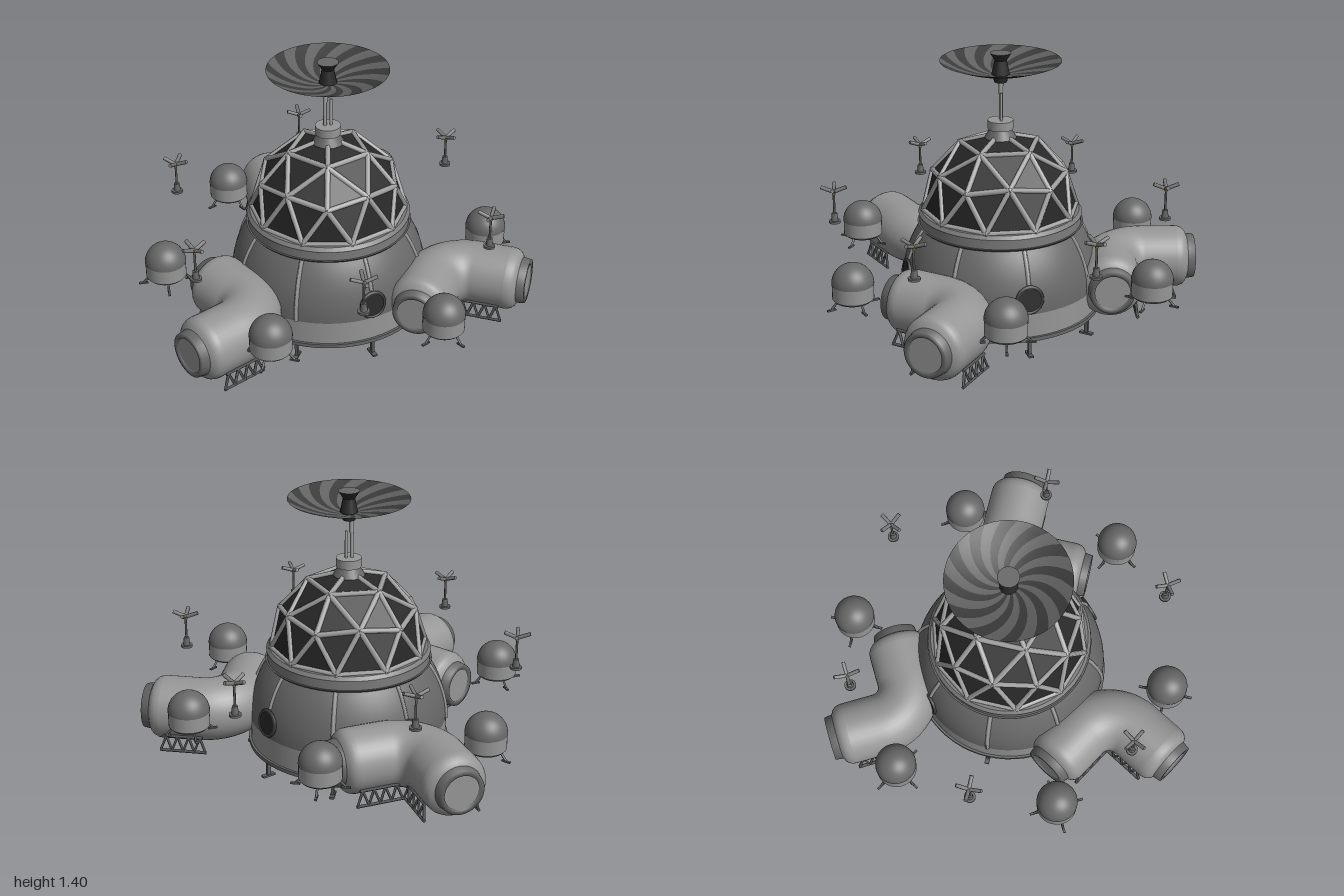
import * as THREE from 'three';

const V = (x, y, z) => new THREE.Vector3(x, y, z);
const mat = (name, color, side = THREE.FrontSide) => {
  const m = new THREE.MeshStandardMaterial({ color, side });
  m.name = name;
  return m;
};

export function createModel() {
  const light = mat('light hull', 0x969696);
  const dark = mat('dark hull', 0x686868);
  const ring = mat('ring grey', 0x7c7c7c);
  const strut = mat('strut grey', 0xa2a2a2);
  const metal = mat('leg metal', 0x5c5c5c);
  const glass = mat('dark glass', 0x282828, THREE.DoubleSide);
  const dishA = mat('dish dark', 0x3c3c3c, THREE.DoubleSide);
  const dishB = mat('dish grey', 0x626262, THREE.DoubleSide);
  const orange = mat('beacon orange', 0xb07a2a);

  const model = new THREE.Group();
  const base = new THREE.Group();
  base.name = 'station';
  base.position.set(-0.06, 0, -0.015);
  model.add(base);

  const add = (parent, name, geo, material, x = 0, y = 0, z = 0) => {
    const m = new THREE.Mesh(geo, material);
    m.name = name;
    m.position.set(x, y, z);
    parent.add(m);
    return m;
  };
  const group = (parent, name, turn = 0) => {
    const g = new THREE.Group();
    g.name = name;
    g.rotation.y = turn;
    parent.add(g);
    return g;
  };
  // Cylinder between two heights
  const drum = (parent, name, rTop, rBot, y0, y1, material, sides = 48, x = 0, z = 0) =>
    add(parent, name, new THREE.CylinderGeometry(rTop, rBot, y1 - y0, sides), material, x, (y0 + y1) / 2, z);
  // Straight bar between two points
  const bar = (parent, name, a, b, r, material, sides = 4) => {
    const m = add(parent, name, new THREE.CylinderGeometry(r, r, a.distanceTo(b), sides), material);
    m.position.copy(a).lerp(b, 0.5);
    m.quaternion.setFromUnitVectors(V(0, 1, 0), b.clone().sub(a).normalize());
    return m;
  };
  const lathe = (pts, seg = 32) => new THREE.LatheGeometry(pts.map(p => new THREE.Vector2(p[0], p[1])), seg);

  // Hub: floor rim, wall and lower dome
  drum(base, 'baseRim', 0.512, 0.512, 0.08, 0.1, dark, 64);
  drum(base, 'floorPlate', 0.47, 0.47, 0.074, 0.08, ring, 64);
  drum(base, 'hubWall', 0.5, 0.5, 0.1, 0.22, light, 64);
  const arc = [];
  for (let i = 0; i <= 12; i++) {
    const e = (i / 12) * 0.645;
    arc.push([0.5 * Math.cos(e), 0.22 + 0.5 * Math.sin(e)]);
  }
  add(base, 'hubDome', lathe(arc, 64), dark);

  // Ribs, portholes and landing legs around the hub
  const landingLeg = (parent, x, z) => {
    add(parent, 'landingLeg', new THREE.BoxGeometry(0.02, 0.075, 0.014), metal, x, 0.045, z);
    add(parent, 'landingPad', new THREE.BoxGeometry(0.07, 0.01, 0.024), metal, x, 0.005, z);
  };
  for (let i = 0; i < 8; i++) {
    const g = group(base, 'hubSector', (i * Math.PI) / 4);
    const start = i % 2 ? 0.3 : 0;
    const rib = add(g, 'hubRib', new THREE.TorusGeometry(0.5, 0.011, 4, 12, 0.64 - start), strut, 0, 0.22, 0);
    rib.rotation.z = start;
    if (i % 2) {
      const p = group(g, 'porthole');
      p.position.set(0.492, 0.295, 0);
      p.rotation.z = 0.15 - Math.PI / 2;
      drum(p, 'portholeGlass', 0.062, 0.062, -0.02, 0.008, glass, 24);
      const frame = add(p, 'portholeFrame', new THREE.TorusGeometry(0.064, 0.009, 6, 24), dishA, 0, 0.003, 0);
      frame.rotation.x = Math.PI / 2;
    }
    landingLeg(g, 0.495, 0);
  }
  landingLeg(base, 0.09, -0.3);

  // Collar between the domes
  drum(base, 'collarLip', 0.42, 0.412, 0.522, 0.532, metal, 64);
  drum(base, 'collarBand', 0.41, 0.41, 0.532, 0.582, ring, 64);
  drum(base, 'collarTop', 0.4, 0.415, 0.582, 0.6, ring, 64);

  // Geodesic dome: ten panels around, vertices on latitude rings
  const R = 0.39, deg = Math.PI / 180;
  const at = (az, el) => V(Math.sin(az * deg) * Math.cos(el * deg), Math.sin(el * deg),
    Math.cos(az * deg) * Math.cos(el * deg)).multiplyScalar(R);
  const verts = [at(0, 90)];
  for (let k = 0; k < 5; k++) verts.push(at(18 + 72 * k, 58.28));
  for (let i = 0; i < 10; i++) verts.push(at(18 + 36 * i, i % 2 ? 31.72 : 26.57));
  for (let i = 0; i < 10; i++) verts.push(at(36 * i, 0));
  const faces = [];
  const top = k => 1 + (k % 5), mid = i => 6 + ((i + 10) % 10), eq = i => 16 + (i % 10);
  for (let k = 0; k < 5; k++) {
    faces.push([0, top(k), top(k + 1)], [top(k), mid(2 * k - 1), mid(2 * k)],
      [top(k), mid(2 * k), mid(2 * k + 1)], [top(k), mid(2 * k + 1), top(k + 1)]);
  }
  for (let i = 0; i < 10; i++) faces.push([mid(i), eq(i), eq(i + 1)], [mid(i), eq(i + 1), mid(i + 1)]);
  const geo = new THREE.BufferGeometry().setFromPoints(faces.flat().map(i => verts[i]));
  geo.computeVertexNormals();
  const dome = group(base, 'geodesicDome');
  dome.position.y = 0.602;
  add(dome, 'glassPanels', geo, glass);
  const edges = new Set();
  for (const f of faces) f.forEach((a, i) => {
    const b = f[(i + 1) % 3];
    edges.add(Math.min(a, b) * 100 + Math.max(a, b));
  });
  for (const e of edges) bar(dome, 'domeStrut', verts[Math.floor(e / 100)], verts[e % 100], 0.014, strut, 6);
  verts.forEach(v => add(dome, 'domeNode', new THREE.IcosahedronGeometry(0.017, 0), strut, v.x, v.y, v.z));

  // Neck, masts and dish
  drum(base, 'neck', 0.05, 0.08, 0.97, 1.02, dark, 24);
  drum(base, 'neckDisc', 0.064, 0.064, 1.015, 1.06, light, 32);
  drum(base, 'mast', 0.009, 0.009, 1.05, 1.27, strut, 10, -0.014, 0.005);
  drum(base, 'mastSleeve', 0.012, 0.012, 1.19, 1.27, strut, 10, -0.012, 0.005);
  drum(base, 'whipAerial', 0.007, 0.007, 1.05, 1.2, strut, 8, 0.012, -0.01);
  drum(base, 'dishMount', 0.04, 0.032, 1.255, 1.3, glass, 12);
  const dishPts = [];
  for (let i = 0; i <= 10; i++) dishPts.push([0.3 * i / 10, 1.288 + 0.077 * (i / 10) ** 1.6]);
  const dish = lathe(dishPts, 48);
  const pos = dish.attributes.position;
  for (let i = 0; i < pos.count; i++) {
    // Swirl the dish segments with radius
    const x = pos.getX(i), z = pos.getZ(i), t = 3.2 * Math.hypot(x, z);
    pos.setXYZ(i, x * Math.cos(t) - z * Math.sin(t), pos.getY(i), x * Math.sin(t) + z * Math.cos(t));
  }
  dish.computeVertexNormals();
  for (let s = 0; s < 48; s++) dish.addGroup(s * 60, 60, (s >> 1) % 2);
  add(base, 'dish', dish, [dishA, dishB]);
  drum(base, 'feedStem', 0.03, 0.045, 1.295, 1.365, glass, 12);
  drum(base, 'feedHorn', 0.053, 0.03, 1.365, 1.402, [glass, dark, glass], 16);

  // Three bent habitat modules
  const capGeo = lathe([[0.16, 0], [0.158, 0.018], [0.151, 0.035], [0.138, 0.05], [0.115, 0.062]], 36);
  const collarGeo = lathe([[0.122, 0.04], [0.113, 0.1], [0.088, 0.1], [0.088, 0.085]], 36);
  const moduleEnd = (parent, p, dir) => {
    const g = group(parent, 'moduleEnd');
    g.position.copy(p);
    g.quaternion.setFromUnitVectors(V(0, 1, 0), dir);
    add(g, 'endShoulder', capGeo, light);
    add(g, 'dockingCollar', collarGeo, dark);
    drum(g, 'dockingHatch', 0.09, 0.09, 0.06, 0.092, light, 36);
  };
  const truss = (parent, x, z, turn) => {
    const g = group(parent, 'moduleTruss', turn);
    g.position.set(x, 0, z);
    for (const s of [-1, 1]) {
      const hi = u => V(u, 0.15, s * 0.13), lo = u => V(u, 0.075, s * 0.14);
      bar(g, 'trussRail', hi(-0.1), hi(0.1), 0.009, metal);
      bar(g, 'trussFoot', lo(-0.12), lo(0.12), 0.009, metal);
      for (let i = 0; i < 4; i++) {
        const a = -0.116 + i * 0.058;
        bar(g, 'trussBrace', lo(a), hi(a + 0.029), 0.007, metal);
        bar(g, 'trussBrace', hi(a + 0.029), lo(a + 0.058), 0.007, metal);
      }
    }
  };
  const path = new THREE.CurvePath();
  const p0 = V(0.55, 0.25, 0.207), p3 = V(0.92, 0.25, -0.16), bend = 0.2, k = bend * 0.45;
  const p1 = V(0.55, 0.25, -0.16 + bend), p2 = V(0.55 + bend, 0.25, -0.16);
  path.add(new THREE.LineCurve3(p0, p1));
  path.add(new THREE.CubicBezierCurve3(p1, V(0.55, 0.25, -0.16 + k), V(0.55 + k, 0.25, -0.16), p2));
  path.add(new THREE.LineCurve3(p2, p3));
  const tubeGeo = new THREE.TubeGeometry(path, 40, 0.16, 36);
  for (let i = 0; i < 3; i++) {
    const g = group(base, 'habitatModule', (i * 2 * Math.PI) / 3);
    add(g, 'moduleTube', tubeGeo, light);
    moduleEnd(g, p0, V(0, 0, 1));
    moduleEnd(g, p3, V(1, 0, 0));
    truss(g, 0.55, 0.105, Math.PI / 2);
    truss(g, 0.8, -0.16, 0);
  }

  // Six storage tanks and six beacons in an outer ring
  for (let i = 0; i < 6; i++) {
    const t = group(group(base, 'tankSector', Math.PI / 6 + (i * Math.PI) / 3), 'storageTank');
    t.position.x = 0.84;
    drum(t, 'tankBody', 0.102, 0.102, 0.295, 0.37, light, 32);
    drum(t, 'tankBottom', 0.102, 0.09, 0.283, 0.295, ring, 32);
    add(t, 'tankDome', new THREE.SphereGeometry(0.104, 32, 12, 0, Math.PI * 2, 0, Math.PI / 2), dark, 0, 0.369, 0);
    for (let j = 0; j < 4; j++) {
      const l = group(t, 'tankLeg', (j * Math.PI) / 2);
      bar(l, 'tankStrut', V(0.08, 0.295, 0), V(0.118, 0.257, 0), 0.006, metal, 6);
      add(l, 'tankPad', new THREE.BoxGeometry(0.046, 0.008, 0.012), metal, 0.118, 0.254, 0);
    }

    const b = group(group(base, 'beaconSector', (i * Math.PI) / 3), 'beacon');
    b.position.x = 0.84;
    drum(b, 'beaconFoot', 0.03, 0.03, 0.52, 0.532, dark, 12);
    drum(b, 'beaconBase', 0.014, 0.018, 0.532, 0.572, dark, 12);
    drum(b, 'beaconPole', 0.006, 0.006, 0.57, 0.69, metal, 8);
    add(b, 'beaconLamp', new THREE.SphereGeometry(0.009, 8, 6), orange, 0, 0.676, 0);
    for (let j = 0; j < 4; j++) {
      const a = (j * Math.PI) / 2;
      bar(b, 'beaconArm', V(0, 0.686, 0), V(0.064 * Math.cos(a), 0.711, 0.064 * Math.sin(a)), 0.01, ring, 6);
    }
  }
  return model;
}
